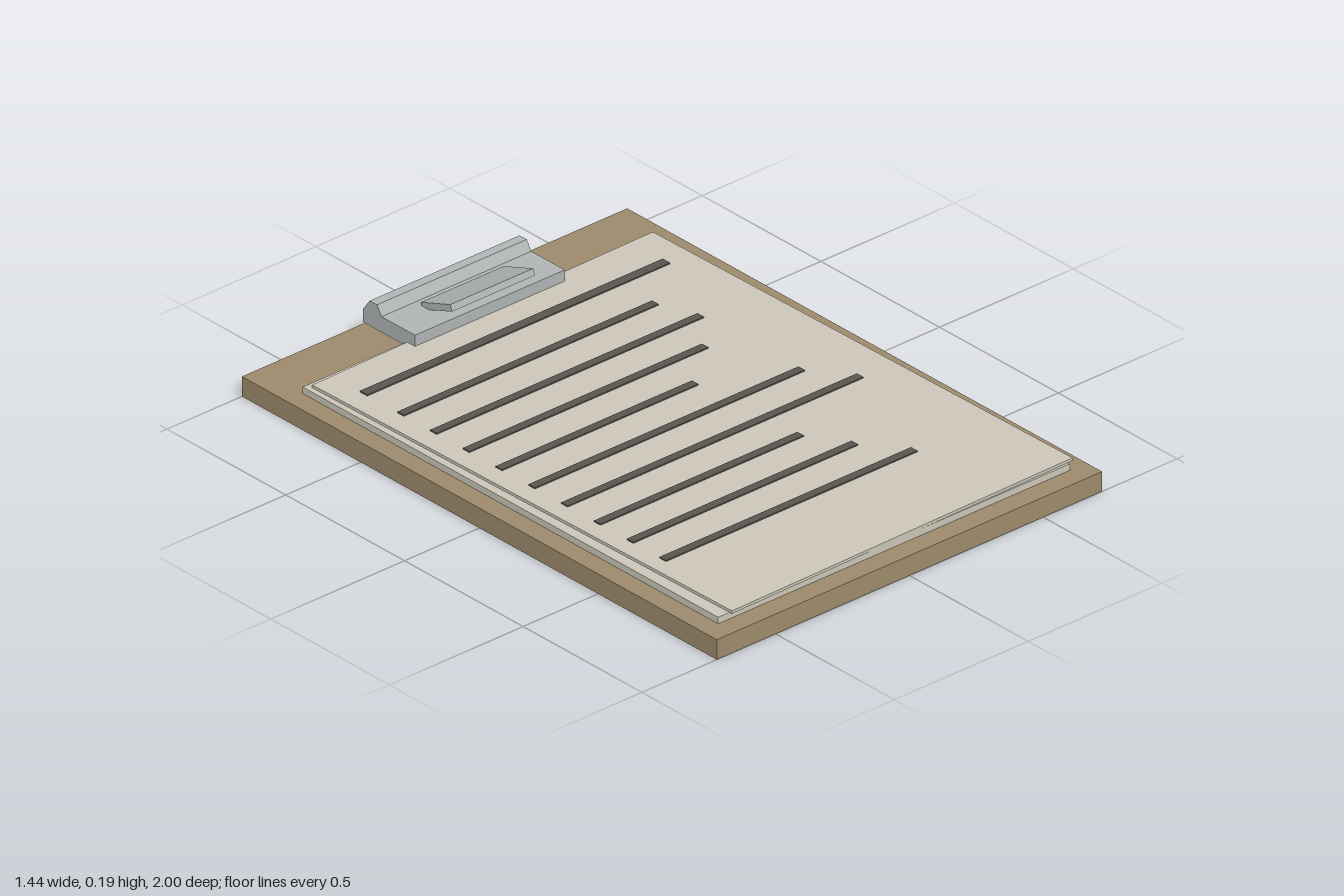
import * as THREE from 'three';

const material = (name, color) => {
  const m = new THREE.MeshStandardMaterial({ color });
  m.name = name;
  return m;
};

export function createModel() {
  const group = new THREE.Group();
  const wood = material('brown board', 0x9c8a6c);
  const paper = material('paper', 0xcbc6b8);
  const metal = material('clip metal', 0xb0b4b5);
  const ink = material('dark ink', 0x5a5550);

  // Box given by its size and the height of its underside
  const slab = (name, mat, w, h, d, x, y, z) => {
    const mesh = new THREE.Mesh(new THREE.BoxGeometry(w, h, d), mat);
    mesh.name = name;
    mesh.position.set(x, y + h / 2, z);
    group.add(mesh);
    return mesh;
  };

  // Side profile in (z, y), extruded across x and centred
  const profile = (name, points, width) => {
    const shape = new THREE.Shape(points.map(([z, y]) => new THREE.Vector2(-z, y)));
    const geo = new THREE.ExtrudeGeometry(shape, { depth: width, bevelEnabled: false });
    geo.translate(0, 0, -width / 2).rotateY(Math.PI / 2);
    const mesh = new THREE.Mesh(geo, metal);
    mesh.name = name;
    group.add(mesh);
  };

  // Board, stack of sheets and a slightly skewed top sheet
  slab('board', wood, 1.44, 0.064, 2, 0, 0, 0);
  slab('paperStack', paper, 1.314, 0.021, 1.75, 0, 0.064, 0.06);
  slab('topSheet', paper, 1.29, 0.009, 1.74, 0.0175, 0.085, 0.066).rotation.y = 0.0145;

  // Written lines: heading first, then body rows of varying length
  const left = -0.567;
  const rightEnds = [0.565, 0.385, 0.432, 0.326, 0.166, 0.442, 0.538, 0.193, 0.273, 0.373];
  rightEnds.forEach((right, i) => {
    const z = i === 0 ? -0.66 : -0.504 + (i - 1) * 0.138;
    slab('textLine', ink, right - left, 0.005, i === 0 ? 0.031 : 0.027, (left + right) / 2, 0.093, z);
  });

  // Clip body with a raised ridge along its back
  profile('clipBody', [
    [-0.767, 0.08], [-0.767, 0.13], [-0.908, 0.13], [-0.927, 0.16],
    [-0.958, 0.16], [-0.985, 0.123], [-0.985, 0.08],
  ], 0.56);

  // Tilted thumb lever rising towards the front
  profile('clipLever', [
    [-0.752, 0.165], [-0.759, 0.185], [-0.883, 0.14], [-0.876, 0.12],
  ], 0.31);

  return group;
}
